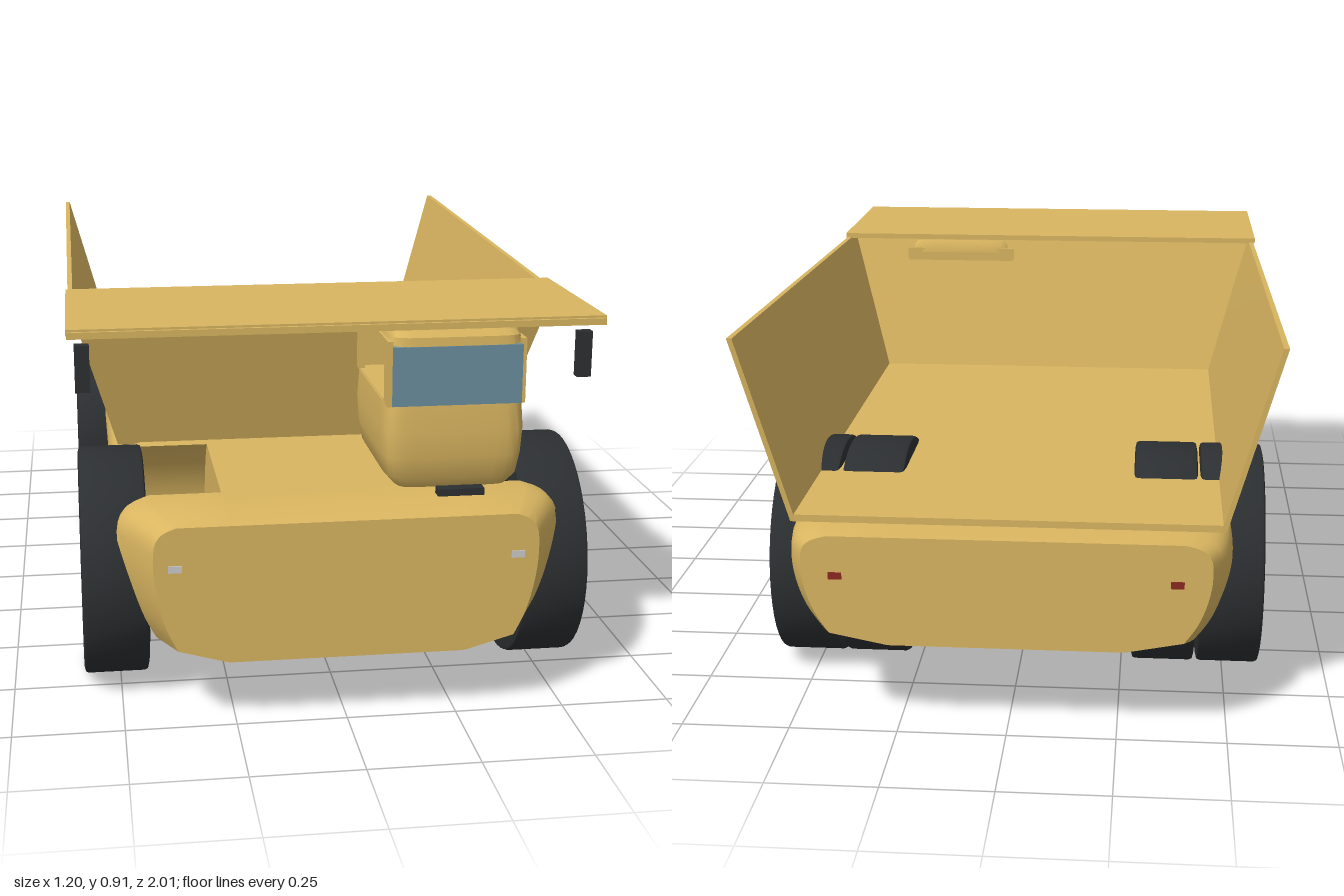
import * as THREE from 'three';
import { toCreasedNormals } from 'three/addons/utils/BufferGeometryUtils.js';

const paint = (color) => new THREE.MeshStandardMaterial({ color });
const YELLOW = paint(0xd9b560), RUBBER = paint(0x2c2f31), STEEL = paint(0x9a9a9a), DARK = paint(0x3c4043);
const GLASS = paint(0x6b8fa0), WHITE = paint(0xe8e8e8), RED = paint(0x8a2a20);
const WHEEL_Y = 0.275, FRONT_Z = 0.62, REAR_Z = -0.51, ARCH_R = 0.295, WELL_X = 0.265;

function add(parent, name, geometry, material, x = 0, y = 0, z = 0) {
  const mesh = new THREE.Mesh(geometry, material);
  mesh.name = name;
  mesh.position.set(x, y, z);
  parent.add(mesh);
  return mesh;
}

// box given by its lower and upper limits
function block(parent, name, material, [x0, x1], [y0, y1], [z0, z1]) {
  return add(parent, name, new THREE.BoxGeometry(x1 - x0, y1 - y0, z1 - z0), material,
    (x0 + x1) / 2, (y0 + y1) / 2, (z0 + z1) / 2);
}

// closed skin through rings of points; the ends are closed by strips across the ring
function loft(rings, crease = 0.6) {
  const n = rings[0].length, last = rings.length - 1, tris = [];
  const quad = (a, b, c, d) => tris.push([a, b, c], [a, c, d]);
  for (let k = 0; k < last; k++) {
    for (let i = 0; i < n; i++) {
      const j = (i + 1) % n;
      quad(rings[k][i], rings[k][j], rings[k + 1][j], rings[k + 1][i]);
    }
  }
  for (let i = 0; i < n / 2 - 1; i++) {
    const [a, b] = [rings[0], rings[last]];
    quad(a[i], a[n - 1 - i], a[n - 2 - i], a[i + 1]);
    quad(b[i], b[i + 1], b[n - 2 - i], b[n - 1 - i]);
  }
  // turn the skin outward if its volume is negative
  const v = (p) => new THREE.Vector3(...p);
  const volume = tris.reduce((s, [a, b, c]) => s + v(a).dot(v(b).cross(v(c))), 0);
  if (volume < 0) tris.forEach((t) => t.reverse());
  const g = new THREE.BufferGeometry();
  g.setAttribute('position', new THREE.Float32BufferAttribute(tris.flat(2), 3));
  return toCreasedNormals(g, crease);
}

// piecewise linear lookup
function lookup(table, t) {
  for (let i = 1; i < table.length; i++) {
    const [a, va] = table[i - 1], [b, vb] = table[i];
    if (t <= b) return va + (vb - va) * Math.max(0, (t - a) / (b - a));
  }
  return table[table.length - 1][1];
}

const TOP = [[-1, 0.478], [-0.9, 0.488], [0.85, 0.493], [0.92, 0.49], [1, 0.474]];
const BOTTOM = [[-1, 0.22], [-0.93, 0.197], [-0.8, 0.17], [-0.3, 0.155], [0.3, 0.147], [0.9, 0.147], [1, 0.155]];
const WIDTH = [[-1, 0.8], [-0.95, 0.93], [-0.85, 1], [0.88, 1], [1, 0.69]];

function bodyPoint(x, y, z, side = 1) {
  const lo = lookup(BOTTOM, z), hi = lookup(TOP, z);
  const px = x > WELL_X ? WELL_X + (x - WELL_X) * lookup(WIDTH, z) : x;
  return [side * px, lo + (y - 0.145) / 0.348 * (hi - lo), z];
}

function addBody(truck) {
  // narrow core between the wheel wells
  const stations = [-1, -0.93, -0.8, -0.3, 0.3, 0.85, 0.92, 1];
  add(truck, 'bodyCore', loft(stations.map((z) =>
    [[1, 0.145], [1, 0.493], [-1, 0.493], [-1, 0.145]].map(([s, y]) => bodyPoint(WELL_X, y, z, s)))), YELLOW);

  // bulging flanks, cut round by the wheel arches
  const outline = new THREE.SplineCurve([[0.43, 0.493], [0.475, 0.478], [0.5, 0.45], [0.505, 0.4], [0.5, 0.345],
    [0.485, 0.285], [0.462, 0.23], [0.43, 0.18]].map((p) => new THREE.Vector2(...p))).getPoints(20);
  outline.push(new THREE.Vector2(WELL_X + 0.001, 0.145));
  const arch = (zc, dir) => (y) => zc + dir * Math.sqrt(ARCH_R ** 2 - (y - WHEEL_Y) ** 2);
  const spans = [
    ['frontFlank', arch(FRONT_Z, 1), () => 1],
    ['middleFlank', arch(REAR_Z, 1), arch(FRONT_Z, -1)],
    ['rearFlank', () => -1, arch(REAR_Z, -1)],
  ];
  for (const [name, from, to] of spans) {
    for (const side of [1, -1]) {
      const rings = [0, 0.15, 0.3, 0.5, 0.7, 0.85, 1].map((t) => {
        const at = (x, y) => bodyPoint(x, y, from(y) + (to(y) - from(y)) * t, side);
        return [...outline.map((p) => at(p.x, p.y)), ...outline.map((p) => at(WELL_X, p.y)).reverse()];
      });
      add(truck, name, loft(rings), YELLOW);
    }
  }
  // lamps and hood step
  for (const s of [1, -1]) {
    add(truck, 'headlight', new THREE.BoxGeometry(0.03, 0.016, 0.008), WHITE, s * 0.383, 0.38, 0.999);
    add(truck, 'tailLight', new THREE.BoxGeometry(0.03, 0.016, 0.008), RED, s * 0.38, 0.385, -0.999);
  }
  block(truck, 'hoodStep', RUBBER, [0.212, 0.318], [0.5, 0.516], [0.905, 0.935]);
}

function addBed(truck) {
  const slab = (name, corners, [dx, dy, dz]) =>
    add(truck, name, loft([corners, corners.map(([x, y, z]) => [x + dx, y + dy, z + dz])], 0.1), YELLOW);
  slab('bedFloor', [[0.485, 0.487, 0.38], [-0.485, 0.487, 0.38], [-0.485, 0.494, -0.955], [0.485, 0.494, -0.955]], [0, 0.016, 0]);
  slab('bedFrontWall', [[0.485, 0.487, 0.38], [0.597, 0.877, 0.492], [-0.597, 0.877, 0.492], [-0.485, 0.487, 0.38]], [0, 0, -0.014]);
  for (const s of [1, -1]) {
    slab('bedSideWall', [[s * 0.485, 0.487, 0.38], [s * 0.597, 0.877, 0.492],
      [s * 0.602, 0.917, -0.975], [s * 0.485, 0.494, -0.955]], [-s * 0.012, 0, 0]);
    // mirrors hang under the canopy
    block(truck, 'mirror', RUBBER, s > 0 ? [0.552, 0.585] : [-0.585, -0.552], [0.74, 0.846], [0.81, 0.835]);
  }
  block(truck, 'canopy', YELLOW, [-0.602, 0.602], [0.877, 0.891], [0.405, 0.875]);
  block(truck, 'canopyLip', YELLOW, [-0.6, 0.6], [0.871, 0.886], [0.868, 0.883]);
}

function addCab(truck) {
  const cab = new THREE.Group();
  cab.name = 'cab';
  truck.add(cab);
  // rounded-rectangle ring at height y
  const ring = (y, x0, x1, z0, z1) => Array.from({ length: 40 }, (_, i) => {
    const a = (i + 0.5) / 40 * Math.PI * 2, c = Math.cos(a), s = Math.sin(a);
    const soft = (v) => Math.sign(v) * Math.abs(v) ** 0.22;
    return [(x0 + x1) / 2 + (x1 - x0) / 2 * soft(c), y, (z0 + z1) / 2 + (z1 - z0) / 2 * soft(s)];
  });
  add(cab, 'cabLower', loft([ring(0.495, 0.135, 0.4, 0.455, 0.845), ring(0.52, 0.113, 0.42, 0.455, 0.86),
    ring(0.57, 0.104, 0.428, 0.455, 0.869), ring(0.63, 0.1, 0.432, 0.455, 0.871),
    ring(0.695, 0.105, 0.428, 0.455, 0.865)]), YELLOW);
  add(cab, 'cabRoof', loft([ring(0.828, 0.112, 0.423, 0.455, 0.864), ring(0.848, 0.114, 0.421, 0.457, 0.862),
    ring(0.862, 0.122, 0.413, 0.465, 0.85)]), YELLOW);

  // side frames with open windows
  const rect = (T, z0, z1, y0, y1) => new T([[z0, y0], [z1, y0], [z1, y1], [z0, y1]].map((p) => new THREE.Vector2(...p)));
  const frame = rect(THREE.Shape, -0.858, -0.458, 0.69, 0.84);
  frame.holes.push(rect(THREE.Path, -0.815, -0.507, 0.697, 0.83));
  const panel = new THREE.ExtrudeGeometry(frame, { depth: 0.012, bevelEnabled: false }).rotateY(Math.PI / 2);
  add(cab, 'windowFrame', panel, YELLOW, 0.108);
  add(cab, 'windowFrame', panel, YELLOW, 0.414);
  block(cab, 'cabBackWall', YELLOW, [0.112, 0.422], [0.69, 0.84], [0.457, 0.469]);
  block(cab, 'windshield', GLASS, [0.119, 0.416], [0.692, 0.828], [0.853, 0.866]);

  block(cab, 'seat', RUBBER, [0.22, 0.31], [0.69, 0.708], [0.57, 0.638]);
  add(cab, 'steeringWheel', new THREE.TorusGeometry(0.026, 0.003, 6, 24), RUBBER, 0.265, 0.75, 0.685).rotation.x = -0.5;
}

// wheel with its axis along x and its outer face toward +x
function makeWheel() {
  const wheel = new THREE.Group();
  wheel.name = 'wheel';
  const turned = (name, points, material) => add(wheel, name, toCreasedNormals(
    new THREE.LatheGeometry(points.map((p) => new THREE.Vector2(...p)), 48).rotateZ(-Math.PI / 2), 0.6), material);
  turned('tire', [[0.113, -0.066], [0.12, -0.076], [0.255, -0.076], [0.267, -0.073], [0.27, -0.066],
    [0.27, 0.066], [0.267, 0.073], [0.255, 0.076], [0.12, 0.076], [0.113, 0.066], [0.113, -0.066]], RUBBER);
  turned('rim', [[0.103, -0.07], [0.114, -0.07], [0.114, 0.074], [0.103, 0.074], [0.103, -0.07]], STEEL);
  turned('rimRing', [[0.094, 0.03], [0.104, 0.03], [0.104, 0.06], [0.094, 0.06], [0.094, 0.03]], YELLOW);
  turned('wheelDisc', [[0, 0.02], [0.104, 0.02], [0.104, 0.032], [0, 0.036]], DARK);
  turned('hub', [[0.03, 0.02], [0.03, 0.055], [0.022, 0.068], [0, 0.074]], STEEL);
  for (let i = 0; i < 6; i++) {
    const spoke = new THREE.BoxGeometry(0.014, 0.09, 0.01).translate(0.056, 0.062, 0).rotateX(i * Math.PI / 3);
    add(wheel, 'spoke', spoke, STEEL);
  }
  return wheel;
}

function addWheels(truck) {
  const wheel = makeWheel();
  for (const s of [1, -1]) {
    // single in front, twin at the rear
    for (const [x, z] of [[0.51, FRONT_Z], [0.51, REAR_Z], [0.352, REAR_Z]]) {
      const w = wheel.clone();
      w.position.set(s * x, WHEEL_Y, z);
      if (s < 0) w.rotation.y = Math.PI;
      truck.add(w);
    }
  }
  for (const z of [FRONT_Z, REAR_Z]) {
    add(truck, 'axle', new THREE.CylinderGeometry(0.03, 0.03, 1.04, 20).rotateZ(Math.PI / 2), DARK, 0, WHEEL_Y, z);
  }
}

export function createModel() {
  const truck = new THREE.Group();
  truck.name = 'haulTruck';
  addBody(truck);
  addBed(truck);
  addCab(truck);
  addWheels(truck);
  return truck;
}
